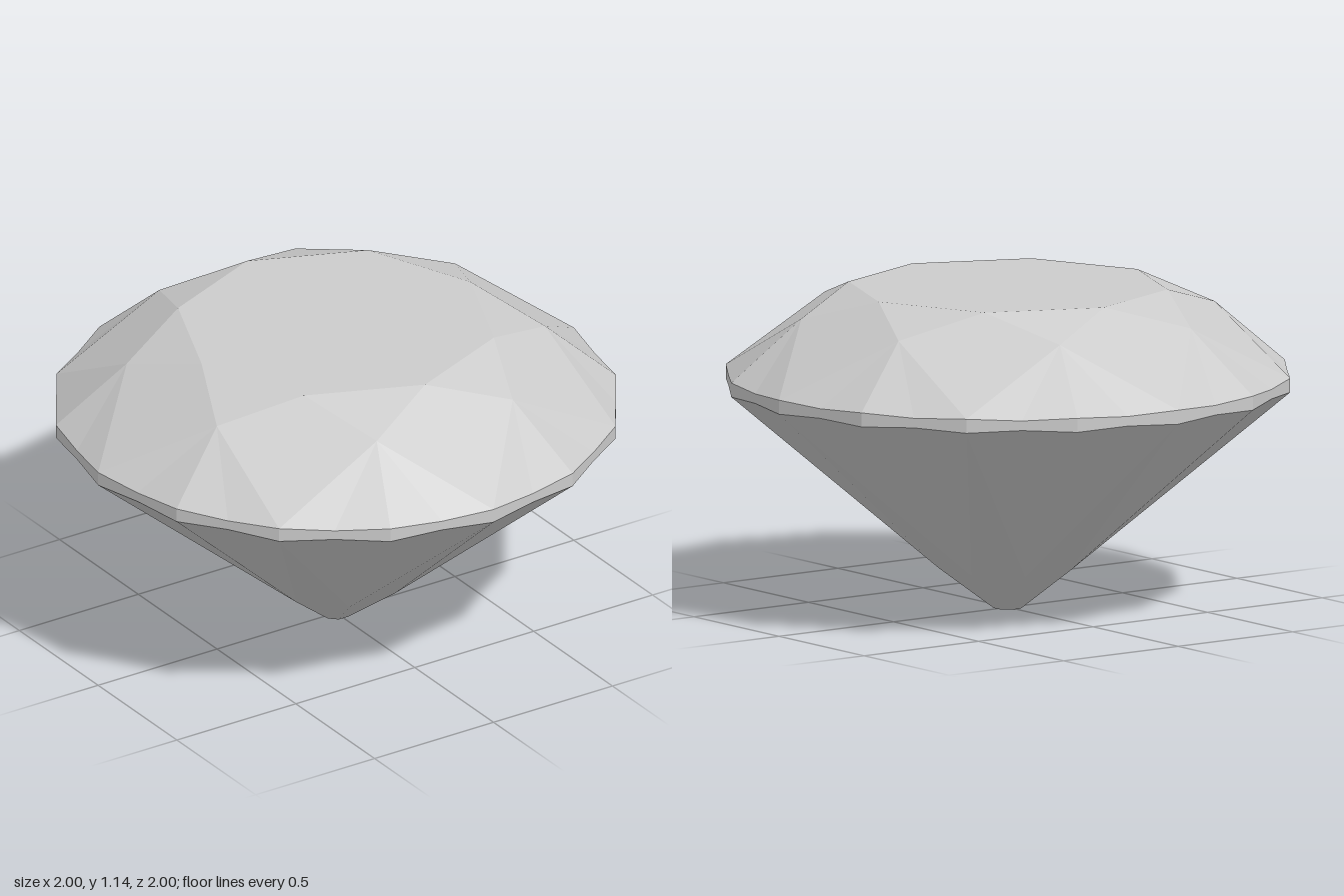
import * as THREE from 'three';

const STEP = Math.PI / 8; // sixteen girdle sides

// Point on a ring; a is counted in sixteenths of a turn
const ring = (radius, y) => (a) =>
  new THREE.Vector3(radius * Math.sin(a * STEP), y, radius * Math.cos(a * STEP));

const HALF = Math.cos(STEP / 2); // chord midpoint distance on the girdle
const table = ring(0.565, 1.145);
const star = ring(0.747, 1.058);
const girdleTop = ring(1, 0.84);
const girdleTopMid = ring(HALF, 0.832);
const girdleLow = ring(1, 0.79);
const girdleLowMid = ring(HALF, 0.798);
const lower = ring(0.25, 0.15);
const culet = ring(0.052, 0);

// Flat facets, each a convex loop of points, turned to face outward
function facetMesh(name, facets) {
  const core = new THREE.Vector3(0, 0.7, 0);
  const points = [];
  for (const f of facets) {
    for (let i = 1; i < f.length - 1; i++) {
      const tri = new THREE.Triangle(f[0], f[i], f[i + 1]);
      const normal = tri.getNormal(new THREE.Vector3());
      const out = tri.getMidpoint(new THREE.Vector3()).sub(core);
      if (normal.dot(out) > 0) points.push(tri.a, tri.b, tri.c);
      else points.push(tri.a, tri.c, tri.b);
    }
  }
  const geometry = new THREE.BufferGeometry().setFromPoints(points);
  geometry.computeVertexNormals();
  const material = new THREE.MeshStandardMaterial({ color: 0xcccccc, flatShading: true });
  const mesh = new THREE.Mesh(geometry, material);
  mesh.name = name;
  return mesh;
}

export function createModel() {
  const tableLoop = [], culetLoop = [];
  const crown = [], girdle = [], pavilion = [];

  for (let k = 0; k < 16; k += 2) {
    tableLoop.push(table(k));
    culetLoop.push(culet(k + 1));

    // Crown: star triangle and kite
    crown.push([table(k), star(k + 1), table(k + 2)]);
    crown.push([table(k), star(k - 1), girdleTop(k), star(k + 1)]);

    // Pavilion: long main facet down to the culet
    pavilion.push([girdleLow(k), lower(k + 1), culet(k + 1), culet(k - 1), lower(k - 1)]);

    // Paired half facets beside each main, with the girdle band between
    for (const s of [-1, 1]) {
      const mid = k + s / 2, end = k + s;
      crown.push([star(end), girdleTop(k), girdleTopMid(mid), girdleTop(end)]);
      pavilion.push([lower(end), girdleLow(k), girdleLowMid(mid), girdleLow(end)]);
      girdle.push([girdleTop(k), girdleTopMid(mid), girdleLowMid(mid), girdleLow(k)]);
      girdle.push([girdleTopMid(mid), girdleTop(end), girdleLow(end), girdleLowMid(mid)]);
    }
  }

  const gem = new THREE.Group();
  gem.name = 'cutGem';
  gem.add(
    facetMesh('table', [tableLoop]),
    facetMesh('crown', crown),
    facetMesh('girdle', girdle),
    facetMesh('pavilion', pavilion),
    facetMesh('culet', [culetLoop])
  );
  return gem;
}
